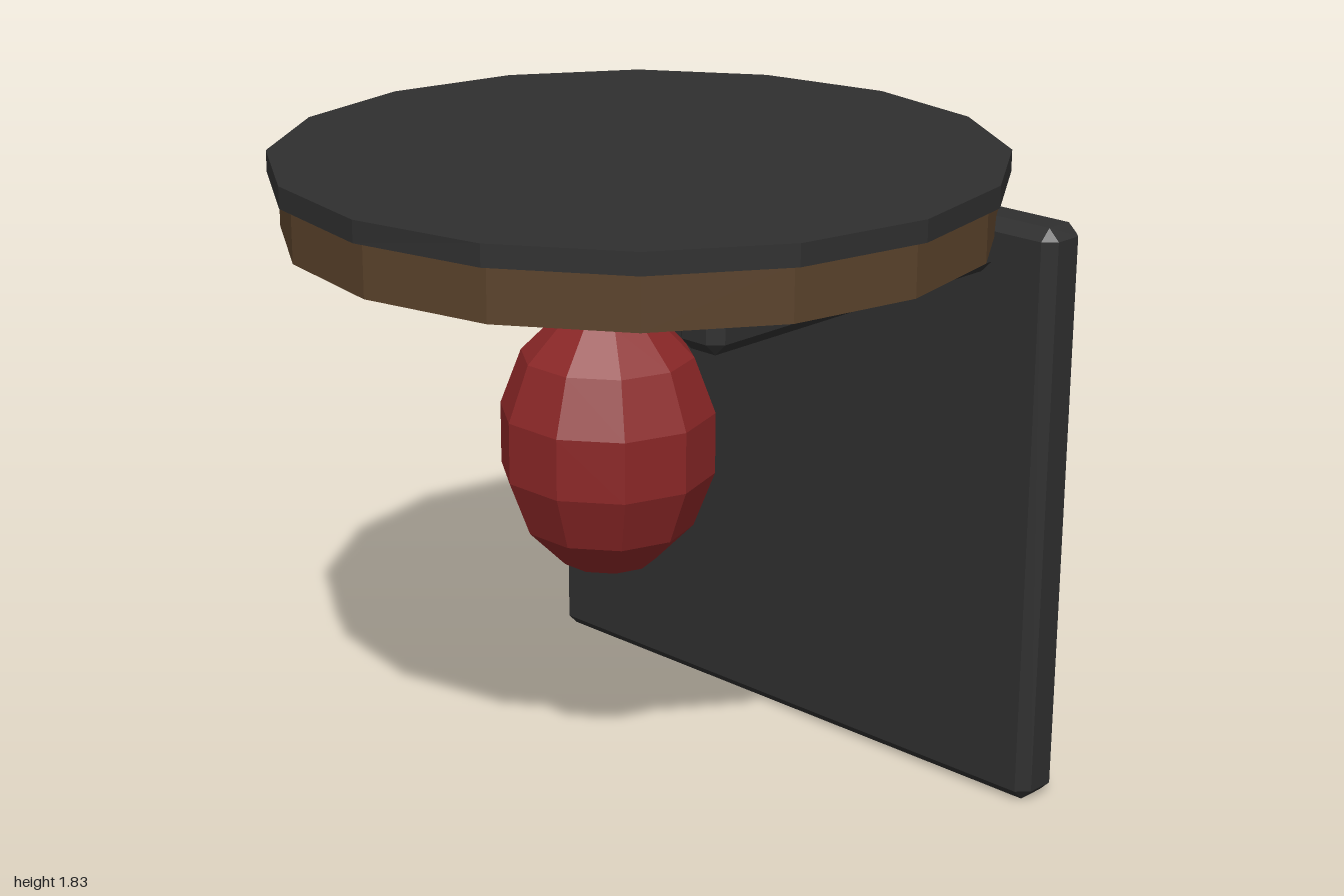
import * as THREE from 'three';
import { ConvexGeometry } from 'three/addons/geometries/ConvexGeometry.js';

function material(name, color) {
  const m = new THREE.MeshStandardMaterial({ color, flatShading: true });
  m.name = name;
  return m;
}

// Box with every edge cut at 45 degrees
function chamferedBox(w, h, d, bevel) {
  const half = [w / 2, h / 2, d / 2];
  const points = [];
  for (const sx of [-1, 1]) for (const sy of [-1, 1]) for (const sz of [-1, 1]) {
    for (let axis = 0; axis < 3; axis++) {
      const c = half.map((v, i) => (i === axis ? v : v - bevel));
      points.push(new THREE.Vector3(c[0] * sx, c[1] * sy, c[2] * sz));
    }
  }
  return new ConvexGeometry(points);
}

export function createModel() {
  const model = new THREE.Group();
  model.name = 'punchBagPlatform';
  const black = material('black', 0x2f2f2f);
  const wood = material('wood', 0x5a422b);
  const red = material('red', 0x8b2727);
  const steel = material('steel', 0xb0b4b8);

  const add = (name, geometry, mat, x, y, z) => {
    const mesh = new THREE.Mesh(geometry, mat);
    mesh.name = name;
    mesh.position.set(x, y, z);
    model.add(mesh);
    return mesh;
  };

  // Wall board
  add('wallBoard', chamferedBox(1.875, 1.67, 0.15, 0.033), black, 0, 0.835, -0.666);

  // Support arms under the platform
  for (const side of [-1, 1]) {
    const name = side > 0 ? 'leftArm' : 'rightArm';
    add(name, chamferedBox(0.15, 0.15, 1.14, 0.033), black, side * 0.668, 1.594, -0.087);
  }

  // Round platform with its cover
  add('platform', new THREE.CylinderGeometry(0.97, 0.97, 0.15, 16), wood, 0, 1.698, 0);
  add('platformCover', new THREE.CylinderGeometry(1, 1, 0.06, 16), black, 0, 1.803, 0);

  // Hanging rod and bag
  const rod = add('rod', new THREE.CylinderGeometry(0.048, 0.048, 0.24, 6), steel, 0, 1.53, 0.123);
  rod.rotation.y = Math.PI / 6;
  const bag = add('bag', new THREE.SphereGeometry(1, 10, 7), red, 0, 1.047, 0.123);
  bag.scale.set(0.307, 0.389, 0.304);

  return model;
}
